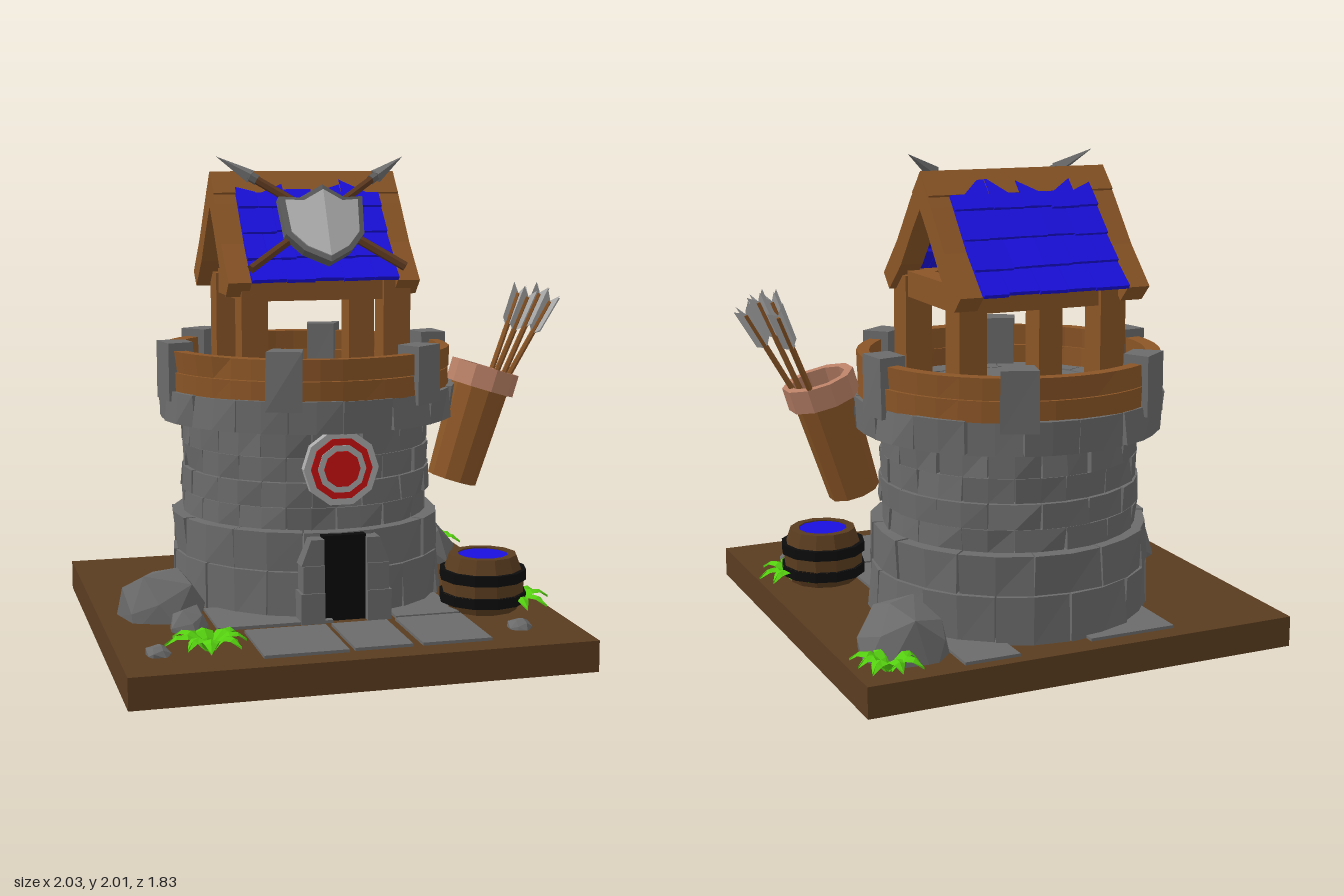
import * as THREE from 'three';
import { ConvexGeometry } from 'three/addons/geometries/ConvexGeometry.js';

const STONE = 0x6b6b6b, WOOD = 0x8a5526, BLUE = 0x1a10e0, DARK = 0x5a3c1f, SILVER = 0xaaaaaa;
const V = (x, y, z) => new THREE.Vector3(x, y, z);
let seed = 7;
const rnd = (a = 0, b = 1) => {
  seed = (seed * 16807) % 2147483647;
  return a + (b - a) * seed / 2147483647;
};

function add(parent, name, geo, color, pos = [0, 0, 0], double = false) {
  const mat = new THREE.MeshStandardMaterial({ color, flatShading: true, side: double ? THREE.DoubleSide : THREE.FrontSide });
  const m = new THREE.Mesh(geo, mat);
  m.name = name;
  m.position.set(...pos);
  parent.add(m);
  return m;
}
function group(parent, name, pos = [0, 0, 0]) {
  const g = new THREE.Group();
  g.name = name;
  g.position.set(...pos);
  parent.add(g);
  return g;
}
// Box given by its limits
function span(parent, name, color, x0, x1, y0, y1, z0, z1) {
  return add(parent, name, new THREE.BoxGeometry(x1 - x0, y1 - y0, z1 - z0), color,
    [(x0 + x1) / 2, (y0 + y1) / 2, (z0 + z1) / 2]);
}
// Box bent round the tower axis, with uneven corners
function ringBlock(r0, r1, a0, a1, y0, y1, segs, j) {
  const g = new THREE.BoxGeometry(1, 1, 1, segs, 1, 1), p = g.attributes.position;
  const n = Array.from({ length: 8 }, () => rnd(-j, j));
  for (let i = 0; i < p.count; i++) {
    const x = p.getX(i), y = p.getY(i), z = p.getZ(i);
    const k = n[(x > 0) + 2 * (y > 0) + 4 * (z > 0)];
    const a = a0 + (a1 - a0) * (x + 0.5), r = r0 + (r1 - r0) * (z + 0.5) + k;
    p.setXYZ(i, r * Math.sin(a), y0 + (y1 - y0) * (y + 0.5) + k * 0.25, r * Math.cos(a));
  }
  return g;
}
// Roof profile mirrored about the ridge and extruded along x
function gable(parent, name, outer, inner, x0, x1) {
  const half = [...outer, ...inner.slice().reverse()];
  for (const s of [1, -1]) {
    const shape = new THREE.Shape(half.map(([d, y]) => new THREE.Vector2(s * d - 0.26, y)));
    const g = new THREE.ExtrudeGeometry(shape, { depth: x1 - x0, bevelEnabled: false });
    add(parent, name, g.rotateY(-Math.PI / 2), WOOD, [x1, 0, 0]);
  }
}
// Group whose y axis runs from one point towards another
function aimed(parent, name, from, to) {
  const g = group(parent, name, from.toArray());
  g.quaternion.setFromUnitVectors(V(0, 1, 0), to.clone().sub(from).normalize());
  return g;
}
function rock(parent, x, z, rx, h, rz) {
  const pts = [];
  for (let i = 0; i < 22; i++) {
    const y = 1 - (i + 0.5) / 11, a = i * 2.4 + rnd(-0.3, 0.3), r = Math.sqrt(1 - y * y), k = rnd(0.88, 1.08);
    pts.push(V(r * Math.cos(a) * rx * k, y * h * k, r * Math.sin(a) * rz * k));
  }
  add(parent, 'rock', new ConvexGeometry(pts), STONE, [x, 0.12 + h * 0.1, z]);
}
function plant(parent, x, z, r) {
  const g = group(parent, 'plant', [x, 0.125, z]);
  for (let i = 0; i < 8; i++) {
    const leaf = new THREE.PlaneGeometry(1, 1, 2, 4), p = leaf.attributes.position, len = r * rnd(0.8, 1.1);
    for (let k = 0; k < p.count; k++) {
      const t = p.getY(k) + 0.5, side = p.getX(k);
      const w = 0.07 * Math.sin(Math.PI * Math.min(1, 0.12 + t * 0.88));
      p.setXYZ(k, side * w, 0.07 * Math.sin(t * 2.6) - 0.02 * Math.abs(side), t * len);
    }
    add(g, 'leaf', leaf, 0x55d010, [0, 0, 0], true).rotation.y = i * Math.PI / 4 + rnd(-0.15, 0.15);
  }
}

export function createModel() {
  seed = 7;
  const root = new THREE.Group();
  root.name = 'watchtower';

  // Ground and paving
  span(root, 'base', DARK, -1, 0.83, 0, 0.125, -0.91, 0.92);
  for (const [x0, x1, z0, z1] of [[-0.475, -0.145, 0.46, 0.82], [-0.12, 0.11, 0.455, 0.81], [0.15, 0.43, 0.44, 0.81],
    [0.16, 0.43, 0.1, 0.42], [-0.57, -0.1, 0.1, 0.41], [-0.5, -0.13, -0.83, -0.5], [0.19, 0.42, -0.86, -0.5]])
    span(root, 'pavingSlab', STONE, x0, x1, 0.1, 0.137, z0, z1);

  // Stone tower: rows of bottom, top, radius, block count
  const tower = group(root, 'tower', [-0.057, 0, -0.22]);
  add(tower, 'core', new THREE.CylinderGeometry(0.49, 0.49, 0.88, 24), STONE, [0, 0.56, 0]);
  [[0.12, 0.318, 0.575, 12], [0.322, 0.48, 0.57, 12], [0.483, 0.572, 0.525, 16], [0.575, 0.675, 0.53, 16],
    [0.678, 0.775, 0.522, 16], [0.778, 0.89, 0.528, 16], [0.89, 1.02, 0.63, 18]].forEach(([y0, y1, r, n], row) => {
    const step = 2 * Math.PI / n;
    for (let i = 0; i < n; i++) {
      const a = (i + (row % 2) / 2) * step;
      add(tower, 'stoneBlock', ringBlock(0.47, r, a + 0.005, a + step - 0.005, y0, y1, 2, 0.012), STONE);
    }
  });
  add(tower, 'floor', new THREE.CylinderGeometry(0.5, 0.5, 0.03, 24), STONE, [0, 1, 0]);

  // Parapet: six stone merlons with two curved planks between each pair
  for (let i = 0; i < 6; i++) {
    const a = 0.672 + i * Math.PI / 3;
    add(tower, 'merlon', ringBlock(0.53, 0.645, a - 0.115, a + 0.115, 0.98, 1.22, 1, 0.006), STONE);
    for (const [y0, y1, r] of [[1.015, 1.098, 0.618], [1.1, 1.185, 0.612]])
      add(tower, 'railPlank', ringBlock(0.56, r, a + 0.08, a + Math.PI / 3 - 0.08, y0, y1, 6, 0.008), WOOD);
  }

  // Doorway
  span(root, 'doorway', 0x0a0a0a, -0.135, 0.045, 0.125, 0.475, 0.2, 0.38);
  for (const s of [-1, 1]) [[0.12, 0.25, 0.1], [0.25, 0.36, 0.09], [0.36, 0.465, 0.095]].forEach(([y0, y1, w], i) => {
    const b = span(root, 'doorStone', STONE, 0, w, y0, y1, 0.22, 0.415 - i * 0.008), p = b.geometry.attributes.position;
    b.position.x = -0.045 + s * (0.088 + w / 2);
    for (let k = 0; k < p.count; k++) // slanted outer top corner
      if (i === 2 && p.getY(k) > 0 && p.getX(k) * s > 0) p.setX(k, p.getX(k) - s * 0.04);
  });

  // Round target
  const target = group(root, 'target', [-0.055, 0.745, 0.34]);
  [[0.15, WOOD, 0.03], [0.155, SILVER, 0.04], [0.127, 0xcc1111, 0.046], [0.1, SILVER, 0.05], [0.075, 0xcc1111, 0.054]].forEach(([r, c, d]) =>
    add(target, 'targetRing', new THREE.CylinderGeometry(r, r, d, 10).rotateY(Math.PI / 10).rotateX(Math.PI / 2), c, [0, 0, d / 2 - 0.01]));

  // Roof frame
  const roof = group(root, 'roof');
  for (const [x0, x1] of [[-0.4, -0.29], [0.2, 0.315]]) {
    for (const [z0, z1] of [[-0.035, 0.095], [-0.57, -0.44]]) span(roof, 'roofPost', WOOD, x0, x1, 1, 1.48, z0, z1);
    span(roof, 'crossBeam', WOOD, x0 + 0.01, x1 - 0.01, 1.395, 1.5, -0.45, -0.03);
  }
  for (const z of [0.03, -0.505]) span(roof, 'eaveBeam', WOOD, -0.3, 0.21, 1.395, 1.49, z - 0.045, z + 0.045);
  const curve = [[0, 1.915], [0.11, 1.785], [0.24, 1.625], [0.39, 1.475]];
  const under = [[0, 1.77], [0.08, 1.68], [0.2, 1.53], [0.33, 1.415]];
  for (const x of [-0.46, 0.25]) gable(roof, 'bargeBoard', curve, under, x, x + 0.095);
  gable(roof, 'ridgeBeam', [[0, 1.918], [0.085, 1.83]], [[0, 1.83], [0.05, 1.79]], -0.458, 0.342);

  // Shingles in four overlapping rows on each slope
  const slope = new THREE.SplineCurve(curve.map(([d, y]) => new THREE.Vector2(d, y)));
  for (const s of [1, -1]) for (let row = 0; row < 4; row++) {
    const hi = slope.getPoint(0.13 + row * 0.21), lo = slope.getPoint(0.38 + row * 0.21);
    const edges = [-0.365, -0.25, -0.13, -0.01, 0.12, 0.255].map((x, i) => x + (i % 5 ? (row % 2 - 0.5) * 0.06 : 0));
    for (let i = 0; i < 5; i++) {
      const w = edges[i + 1] - edges[i], len = hi.distanceTo(lo) + rnd(-0.01, 0.015);
      const tile = add(roof, 'shingle', new THREE.BoxGeometry(w - 0.002, 0.018, len), BLUE,
        [(edges[i] + edges[i + 1]) / 2, (hi.y + lo.y) / 2 + 0.003, -0.26 + s * (hi.x + lo.x) / 2]);
      tile.rotation.set(s * (Math.atan2(hi.y - lo.y, lo.x - hi.x) - 0.1), 0, rnd(-0.03, 0.03));
    }
  }

  // Shield in two bent halves
  const shield = group(root, 'shield', [-0.045, 1.69, 0.06]);
  shield.rotation.x = -0.47;
  const outline = [[0, 0.172], [0.095, 0.125], [0.178, 0.14], [0.165, -0.03], [0.1, -0.11], [0, -0.172]];
  for (const s of [1, -1]) for (const [k, depth, c, n] of [[1, 0.05, 0x606060, 'shieldRim'], [0.86, 0.057, 0xb4b4b4, 'shieldFace']]) {
    const shape = new THREE.Shape(outline.map(([x, y]) => new THREE.Vector2(s * x * k, y * k)));
    const g = new THREE.ExtrudeGeometry(shape, { depth, bevelEnabled: false }), p = g.attributes.position;
    for (let i = 0; i < p.count; i++) p.setZ(i, p.getZ(i) - Math.abs(p.getX(i)) * 0.25);
    add(shield, n, g, c);
  }

  // Crossed spears
  for (const s of [1, -1]) {
    const from = V(-0.04 - s * 0.325, 1.53, 0.12), to = V(-0.04 + s * 0.405, 1.98, -0.19);
    const spear = aimed(root, 'spear', from, to), len = from.distanceTo(to);
    add(spear, 'spearShaft', new THREE.CylinderGeometry(0.018, 0.02, len - 0.17, 6), 0x5f3a22, [0, (len - 0.17) / 2, 0]);
    add(spear, 'spearCollar', new THREE.CylinderGeometry(0.022, 0.022, 0.04, 6), 0x606060, [0, len - 0.18, 0]);
    add(spear, 'spearHead', new THREE.ConeGeometry(0.03, 0.17, 4), 0x707070, [0, len - 0.085, 0]);
  }

  // Quiver
  const quiver = group(root, 'quiver', [0.54, 0.605, -0.01]);
  quiver.rotation.z = -0.3;
  const lathe = pts => new THREE.LatheGeometry(pts.map(([x, y]) => new THREE.Vector2(x, y)), 10);
  add(quiver, 'quiverBody', lathe([[0, 0], [0.106, 0], [0.124, 0.44], [0.11, 0.44], [0.1, 0.1], [0, 0.1]]), WOOD, [0, 0, 0], true);
  add(quiver, 'quiverCollar', lathe([[0.11, 0.41], [0.148, 0.41], [0.148, 0.505], [0.112, 0.505], [0.11, 0.41]]), 0xb98066, [0, 0, 0], true);

  // Arrows with crossed feathers
  const feather = new THREE.Shape([[0, 0], [0.035, 0.03], [0.04, 0.2], [0, 0.165], [-0.04, 0.2], [-0.035, 0.03]]
    .map(([x, y]) => new THREE.Vector2(x, y)));
  [V(0.84, 1.39, 0.085), V(0.91, 1.38, -0.21), V(0.975, 1.36, 0), V(0.91, 1.4, 0.04)].forEach((tip, i) => {
    const from = V(0.6 + i * 0.01, 0.75, -0.01 + tip.z * 0.1), len = from.distanceTo(tip);
    const arrow = aimed(root, 'arrow', from, tip);
    add(arrow, 'arrowShaft', new THREE.CylinderGeometry(0.012, 0.012, len, 6), WOOD, [0, len / 2, 0]);
    for (const a of [0.3, 0.3 + Math.PI / 2])
      add(arrow, 'feather', new THREE.ShapeGeometry(feather), SILVER, [0, len - 0.16, 0], true).rotation.y = a;
  });

  // Water barrel
  const barrel = group(root, 'barrel', [0.56, 0.12, 0.337]);
  add(barrel, 'barrelBody', new THREE.LatheGeometry([[0, 0], [0.14, 0], [0.17, 0.08], [0.17, 0.15], [0.14, 0.235], [0.105, 0.235], [0.105, 0.2]]
    .map(([x, y]) => new THREE.Vector2(x, y)), 12), DARK, [0, 0, 0], true);
  for (const y of [0.06, 0.155])
    add(barrel, 'barrelHoop', new THREE.CylinderGeometry(0.181, 0.181, 0.042, 12, 1, true), 0x0c0c0c, [0, y, 0], true);
  for (const y of [0.04, 0.082, 0.134, 0.176])
    add(barrel, 'hoopEdge', new THREE.RingGeometry(0.145, 0.181, 12).rotateX(-Math.PI / 2), 0x0c0c0c, [0, y - 0.0005, 0], true);
  add(barrel, 'water', new THREE.CylinderGeometry(0.107, 0.107, 0.02, 12), BLUE, [0, 0.22, 0]);

  // Rocks and plants
  rock(root, -0.74, 0.1, 0.2, 0.18, 0.19);
  rock(root, 0.58, -0.62, 0.18, 0.2, 0.23);
  rock(root, -0.67, 0.34, 0.09, 0.09, 0.09);
  rock(root, -0.85, 0.66, 0.055, 0.04, 0.06);
  rock(root, 0.6, 0.66, 0.055, 0.04, 0.06);
  plant(root, -0.65, 0.66, 0.16);
  plant(root, 0.7, -0.79, 0.14);
  plant(root, 0.68, 0.36, 0.16);
  return root;
}
